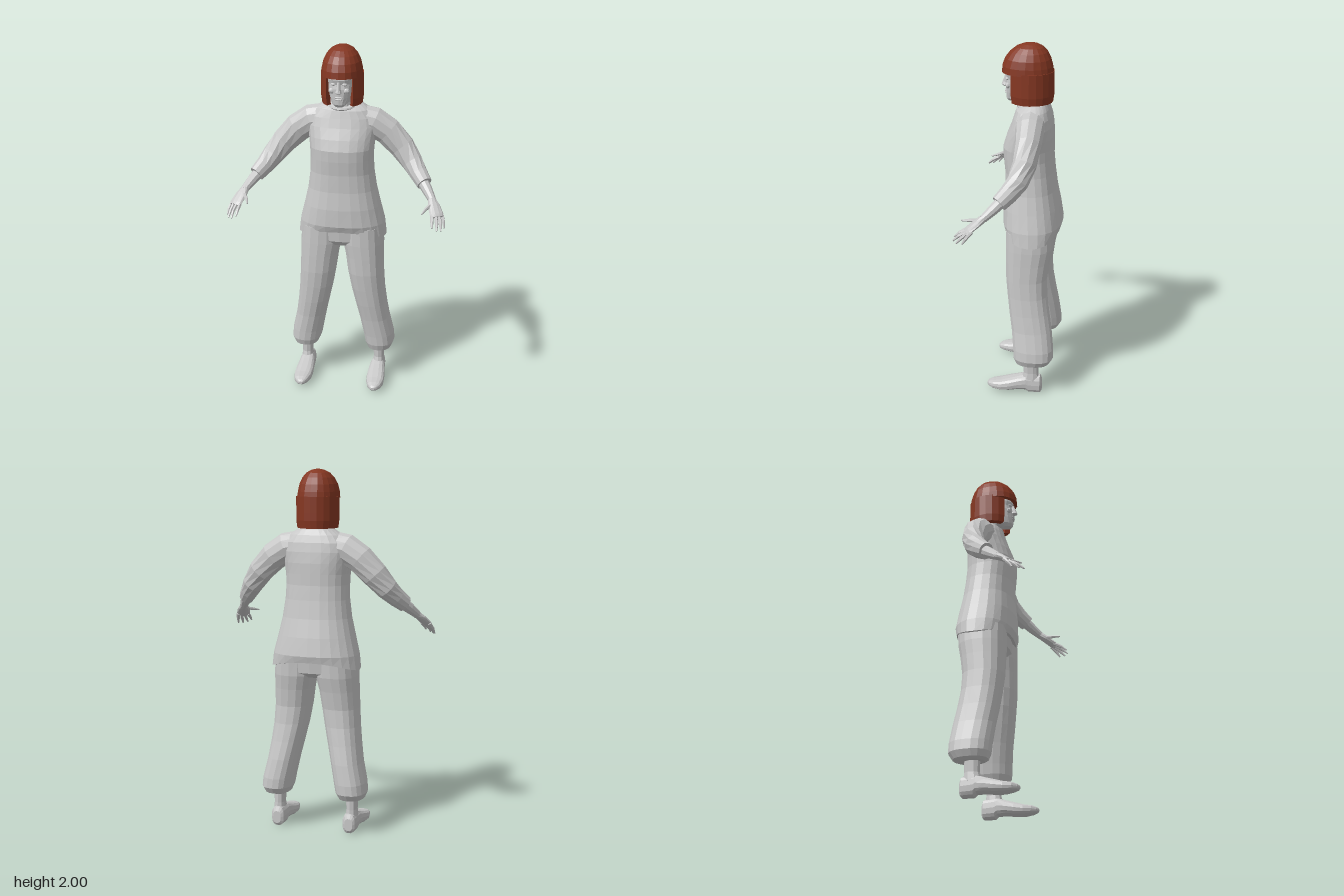
import * as THREE from 'three';

const V = (x, y, z) => new THREE.Vector3(x, y, z);
const sq = (v, p) => Math.sign(v) * Math.abs(v) ** p;

// Faceted normals
function facet(geo) {
  const g = geo.index ? geo.toNonIndexed() : geo;
  g.computeVertexNormals();
  return g;
}

// Skin closed rings of points, with a fan over each end
function loft(rings) {
  const n = rings[0].length, pos = [], idx = [];
  rings.forEach(r => r.forEach(p => pos.push(p.x, p.y, p.z)));
  for (let j = 0; j < rings.length - 1; j++) for (let i = 0; i < n; i++) {
    const a = j * n + i, b = j * n + (i + 1) % n;
    idx.push(a, b, b + n, a, b + n, a + n);
  }
  [0, rings.length - 1].forEach((j, end) => {
    const c = rings[j].reduce((s, p) => s.add(p), V(0, 0, 0)).divideScalar(n);
    const k = pos.length / 3;
    pos.push(c.x, c.y, c.z);
    for (let i = 0; i < n; i++) {
      const a = j * n + i, b = j * n + (i + 1) % n;
      idx.push(...(end ? [k, a, b] : [k, b, a]));
    }
  });
  const g = new THREE.BufferGeometry();
  g.setAttribute('position', new THREE.Float32BufferAttribute(pos, 3));
  g.setIndex(idx);
  return facet(g);
}

// Horizontal sections, bottom to top: [y, x0, x1, zFront, zBack]
function upright(rows, n = 20, p = 0.85, lift = () => 0) {
  return loft(rows.map(([y, x0, x1, zf, zb], j) => Array.from({ length: n }, (_, i) => {
    const a = i / n * Math.PI * 2;
    return V((x0 + x1) / 2 + (x1 - x0) / 2 * sq(Math.sin(a), p), y + lift(j, a),
      (zf + zb) / 2 + (zf - zb) / 2 * sq(Math.cos(a), p));
  })));
}

// Sections along z, back to front: [z, x0, x1, y0, y1]
function lengthwise(rows, n = 14, p = 0.75) {
  return loft(rows.map(([z, x0, x1, y0, y1]) => Array.from({ length: n }, (_, i) => {
    const a = i / n * Math.PI * 2;
    return V((x0 + x1) / 2 + (x1 - x0) / 2 * sq(Math.cos(a), p),
      (y0 + y1) / 2 + (y1 - y0) / 2 * sq(Math.sin(a), p), z);
  })));
}

// Limb along a path: [x, y, z, side radius, upper radius]
function limb(rows, n = 12) {
  const c = rows.map(r => V(r[0], r[1], r[2]));
  return loft(rows.map((r, j) => {
    const t = c[Math.min(j + 1, c.length - 1)].clone().sub(c[Math.max(j - 1, 0)]).normalize();
    const u = V(0, 1, 0).cross(t).normalize(), v = t.clone().cross(u);
    return Array.from({ length: n }, (_, i) => {
      const a = i / n * Math.PI * 2;
      return c[j].clone().addScaledVector(u, r[3] * Math.cos(a)).addScaledVector(v, r[4] * Math.sin(a));
    });
  }));
}

// Copy across x = 0, keeping faces outward
function mirrored(geo) {
  const g = geo.clone(), p = g.attributes.position;
  for (let i = 0; i < p.count; i += 3) {
    const q = [0, 2, 1].map(k => [-geo.attributes.position.getX(i + k),
      p.getY(i + k), p.getZ(i + k)]);
    q.forEach((w, k) => { q[k] = w; });
    q.forEach((w, k) => p.setXYZ(i + k, ...w));
  }
  g.computeVertexNormals();
  return g;
}

export function createModel() {
  const model = new THREE.Group();
  model.name = 'standingWoman';
  const grey = new THREE.MeshStandardMaterial({ color: 0xc8c8c8 });
  grey.name = 'paleGrey';
  const auburn = new THREE.MeshStandardMaterial({ color: 0x853722 });
  auburn.name = 'auburn';
  const add = (name, geo, mat = grey) => {
    const m = new THREE.Mesh(geo, mat);
    m.name = name;
    model.add(m);
  };
  const pair = (name, geo, mat) => {
    add(name + 'Left', geo, mat);
    add(name + 'Right', mirrored(geo), mat);
  };

  // Long loose shirt with a hem that rises at front and back
  add('shirt', upright([
    [0.92, -0.25, 0.25, 0.055, -0.25], [1.0, -0.24, 0.24, 0.07, -0.26],
    [1.1, -0.215, 0.215, 0.07, -0.245], [1.2, -0.192, 0.192, 0.06, -0.225],
    [1.3, -0.178, 0.178, 0.06, -0.212], [1.38, -0.175, 0.175, 0.068, -0.205],
    [1.44, -0.178, 0.178, 0.07, -0.205], [1.5, -0.185, 0.185, 0.052, -0.205],
    [1.56, -0.195, 0.195, 0.028, -0.2], [1.61, -0.185, 0.185, 0.012, -0.192],
    [1.65, -0.15, 0.15, 0.0, -0.18], [1.68, -0.105, 0.105, -0.01, -0.167],
    [1.69, -0.075, 0.075, -0.025, -0.15],
  ], 24, 0.85, (j, a) => j ? (j > 10 ? -0.025 * Math.max(0, Math.cos(a)) : 0) : 0.045 * Math.cos(a) ** 2));
  const collar = new THREE.TorusGeometry(0.08, 0.008, 6, 20);
  collar.rotateX(Math.PI / 2 + 0.2).translate(0, 1.675, -0.085);
  add('collar', facet(collar));

  // Sleeves, forearms and hands
  pair('sleeve', limb([
    [0.08, 1.597, -0.09, 0.08, 0.075], [0.17, 1.575, -0.093, 0.078, 0.083],
    [0.25, 1.522, -0.096, 0.07, 0.08], [0.33, 1.44, -0.088, 0.062, 0.072],
    [0.39, 1.365, -0.06, 0.056, 0.062], [0.43, 1.315, -0.018, 0.048, 0.053],
    [0.467, 1.275, 0.025, 0.042, 0.046],
  ]));
  pair('forearm', limb([
    [0.44, 1.3, -0.005, 0.034, 0.036], [0.485, 1.25, 0.05, 0.029, 0.03],
    [0.52, 1.207, 0.1, 0.021, 0.022],
  ], 10));
  pair('palm', limb([
    [0.515, 1.212, 0.095, 0.022, 0.021], [0.53, 1.19, 0.125, 0.034, 0.018],
    [0.55, 1.155, 0.17, 0.039, 0.014], [0.556, 1.145, 0.182, 0.034, 0.01],
  ], 10));
  const fingers = {
    thumb: [[0.517, 1.195, 0.125], [0.49, 1.183, 0.175], [0.474, 1.172, 0.222]],
    indexFinger: [[0.525, 1.155, 0.175], [0.53, 1.13, 0.22], [0.533, 1.105, 0.25]],
    middleFinger: [[0.545, 1.15, 0.175], [0.556, 1.12, 0.222], [0.558, 1.093, 0.252]],
    ringFinger: [[0.562, 1.15, 0.168], [0.575, 1.115, 0.207], [0.58, 1.088, 0.232]],
    littleFinger: [[0.575, 1.155, 0.15], [0.589, 1.12, 0.18], [0.595, 1.092, 0.198]],
  };
  for (const [name, pts] of Object.entries(fingers)) {
    pair(name, limb(pts.map((p, i) => [...p, ...[[0.01, 0.011], [0.009, 0.009], [0.004, 0.004]][i]]), 6));
  }

  // Baggy trousers gathered at the ankle
  add('trouserSeat', upright([
    [0.87, -0.1, 0.1, 0.01, -0.17], [0.9, -0.21, 0.21, 0.035, -0.215],
    [1.02, -0.225, 0.225, 0.045, -0.23],
  ], 18));
  pair('trouserLeg', upright([
    [0.19, 0.165, 0.265, -0.045, -0.185], [0.2, 0.148, 0.287, -0.025, -0.215],
    [0.235, 0.132, 0.302, -0.012, -0.238], [0.29, 0.122, 0.297, -0.008, -0.238],
    [0.4, 0.1, 0.272, 0.003, -0.225], [0.5, 0.077, 0.257, 0.018, -0.208],
    [0.6, 0.054, 0.246, 0.03, -0.194], [0.7, 0.036, 0.24, 0.04, -0.19],
    [0.8, 0.022, 0.237, 0.043, -0.204], [0.88, 0.004, 0.236, 0.045, -0.22],
    [0.98, 0.002, 0.23, 0.045, -0.225],
  ], 18));

  // Ankles and shoes
  pair('ankle', upright([
    [0.08, 0.178, 0.25, -0.055, -0.16], [0.13, 0.185, 0.244, -0.07, -0.155],
    [0.22, 0.18, 0.248, -0.068, -0.155],
  ], 10));
  pair('shoe', lengthwise([
    [-0.175, 0.19, 0.235, 0.015, 0.085], [-0.165, 0.175, 0.247, 0, 0.11],
    [-0.1, 0.17, 0.252, 0, 0.115], [-0.085, 0.168, 0.254, 0.015, 0.115],
    [-0.04, 0.163, 0.258, 0.017, 0.1], [0.01, 0.16, 0.264, 0.01, 0.085],
    [0.06, 0.163, 0.265, 0.008, 0.07], [0.105, 0.175, 0.255, 0.014, 0.062],
    [0.13, 0.19, 0.237, 0.02, 0.052], [0.14, 0.202, 0.222, 0.028, 0.043],
  ]));

  // Neck, head and face
  add('neck', upright([
    [1.62, -0.065, 0.065, -0.03, -0.16], [1.69, -0.052, 0.052, -0.03, -0.15],
    [1.76, -0.05, 0.05, -0.02, -0.14],
  ], 12));
  add('head', upright([
    [1.685, -0.022, 0.022, 0.045, 0], [1.7, -0.042, 0.042, 0.056, -0.05],
    [1.735, -0.058, 0.058, 0.058, -0.11], [1.785, -0.069, 0.069, 0.058, -0.13],
    [1.81, -0.073, 0.073, 0.052, -0.14], [1.835, -0.075, 0.075, 0.06, -0.14],
    [1.9, -0.07, 0.07, 0.045, -0.14],
  ], 16));
  add('nose', upright([
    [1.762, -0.012, 0.012, 0.068, 0.04], [1.77, -0.018, 0.018, 0.083, 0.04],
    [1.785, -0.012, 0.012, 0.078, 0.04], [1.825, -0.008, 0.008, 0.063, 0.04],
  ], 8));
  const blob = (x, y, z, rx, ry, rz) =>
    facet(new THREE.SphereGeometry(1, 8, 6).scale(rx, ry, rz).translate(x, y, z));
  pair('eye', blob(0.03, 1.811, 0.045, 0.015, 0.008, 0.012));
  pair('cheek', blob(0.038, 1.775, 0.042, 0.02, 0.016, 0.014));
  add('upperLip', blob(0, 1.741, 0.056, 0.024, 0.005, 0.01));
  add('lowerLip', blob(0, 1.73, 0.055, 0.02, 0.005, 0.01));

  // Bobbed hair: crown with fringe, plus a curtain open at the face
  add('hairCrown', upright([
    [1.845, -0.113, 0.113, 0.08, -0.199], [1.88, -0.11, 0.11, 0.077, -0.194],
    [1.92, -0.101, 0.101, 0.062, -0.183], [1.955, -0.084, 0.084, 0.036, -0.165],
    [1.98, -0.062, 0.062, 0.004, -0.142], [1.995, -0.034, 0.034, -0.03, -0.115],
    [2.0, -0.012, 0.012, -0.06, -0.09],
  ], 20, 0.95), auburn);
  const outline = [];
  const arc = (rx, rz, from, to) => {
    for (let i = 0; i <= 16; i++) {
      const a = from + (to - from) * i / 16;
      outline.push(new THREE.Vector2(rx * Math.sin(a), 0.075 - rz * Math.cos(a)));
    }
  };
  arc(0.116, 0.126, 0.68, Math.PI * 2 - 0.68);
  arc(0.084, 0.096, Math.PI * 2 - 0.72, 0.72);
  const curtain = new THREE.ExtrudeGeometry(new THREE.Shape(outline),
    { depth: 0.17, steps: 4, bevelEnabled: false });
  curtain.rotateX(-Math.PI / 2).translate(0, 1.685, 0);
  const cp = curtain.attributes.position;
  for (let i = 0; i < cp.count; i++) {
    const tuck = cp.getY(i) < 1.7 ? 0.95 : 1;
    cp.setX(i, cp.getX(i) * tuck);
    cp.setZ(i, -0.075 + (cp.getZ(i) + 0.075) * tuck);
  }
  add('hairCurtain', facet(curtain), auburn);

  return model;
}
